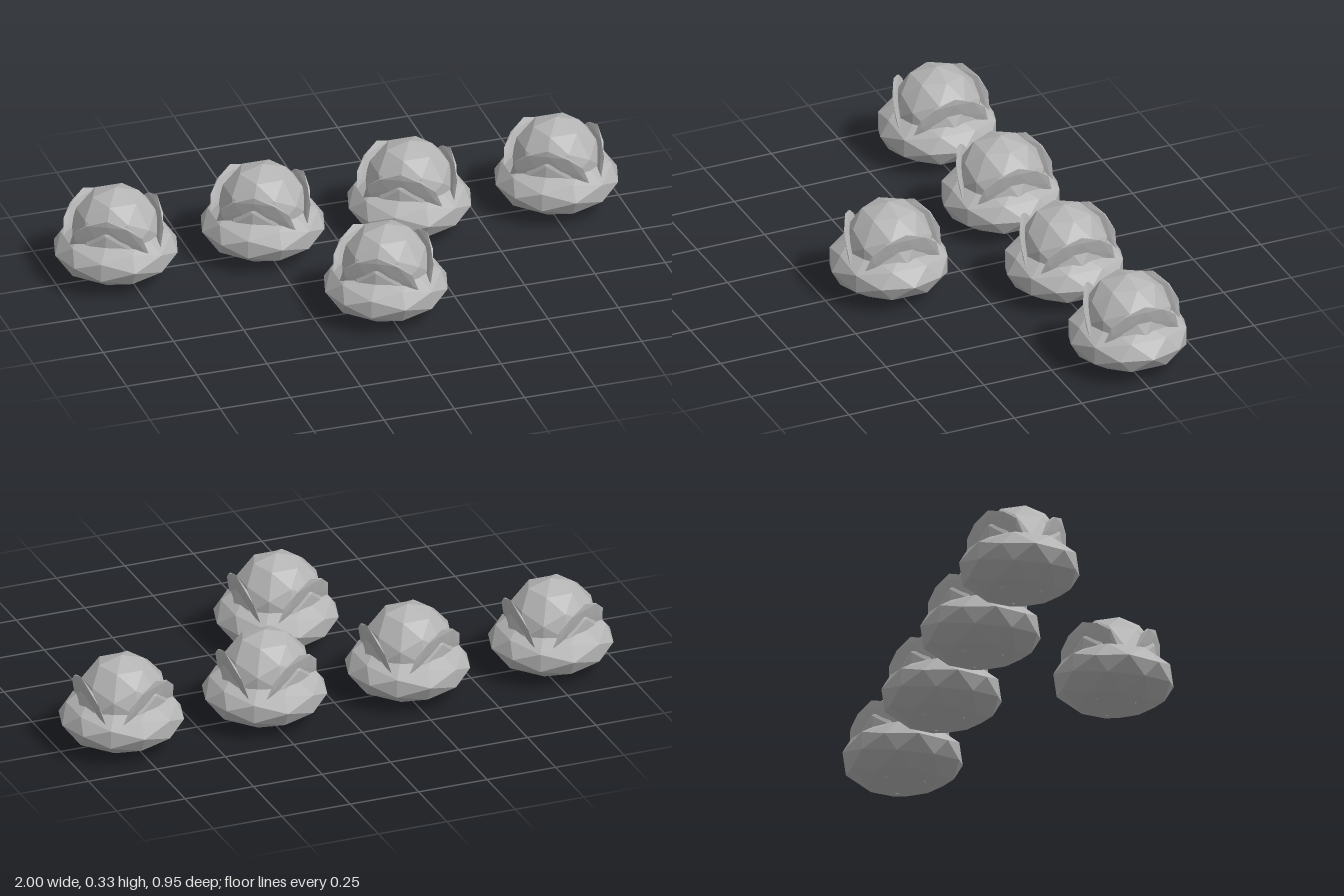
import * as THREE from 'three';

export function createModel() {
  const grey = new THREE.MeshStandardMaterial({ color: 0xb4b4b4, flatShading: true });
  grey.name = 'stone grey';

  // Every part is a faceted ball, stretched to shape
  const ball = new THREE.IcosahedronGeometry(1, 1);
  const blob = (name, sx, sy, sz) => {
    const mesh = new THREE.Mesh(ball, grey);
    mesh.name = name;
    mesh.scale.set(sx, sy, sz);
    return mesh;
  };

  function createBud() {
    const bud = new THREE.Group();
    bud.name = 'bud';

    const base = blob('base', 0.216, 0.105, 0.21);
    base.position.y = 0.105;

    const dome = blob('dome', 0.155, 0.165, 0.155);
    dome.position.y = 0.165;
    bud.add(base, dome);

    // Three thin petals leaning outwards around the dome
    for (let i = 0; i < 3; i++) {
      const pivot = new THREE.Group();
      pivot.name = 'petalPivot';
      pivot.rotation.y = (i * Math.PI * 2) / 3;
      const petal = blob('petal', 0.011, 0.138, 0.14);
      petal.position.set(0.112, 0.142, 0);
      petal.rotation.z = -0.26;
      pivot.add(petal);
      bud.add(pivot);
    }
    return bud;
  }

  // Four buds in the back row, one in front
  const model = new THREE.Group();
  model.name = 'budCluster';
  const places = [[-0.784, -0.266], [-0.261, -0.266], [0.261, -0.266], [0.784, -0.266], [0, 0.266]];
  for (const [x, z] of places) {
    const bud = createBud();
    bud.position.set(x, 0, z);
    model.add(bud);
  }
  return model;
}
